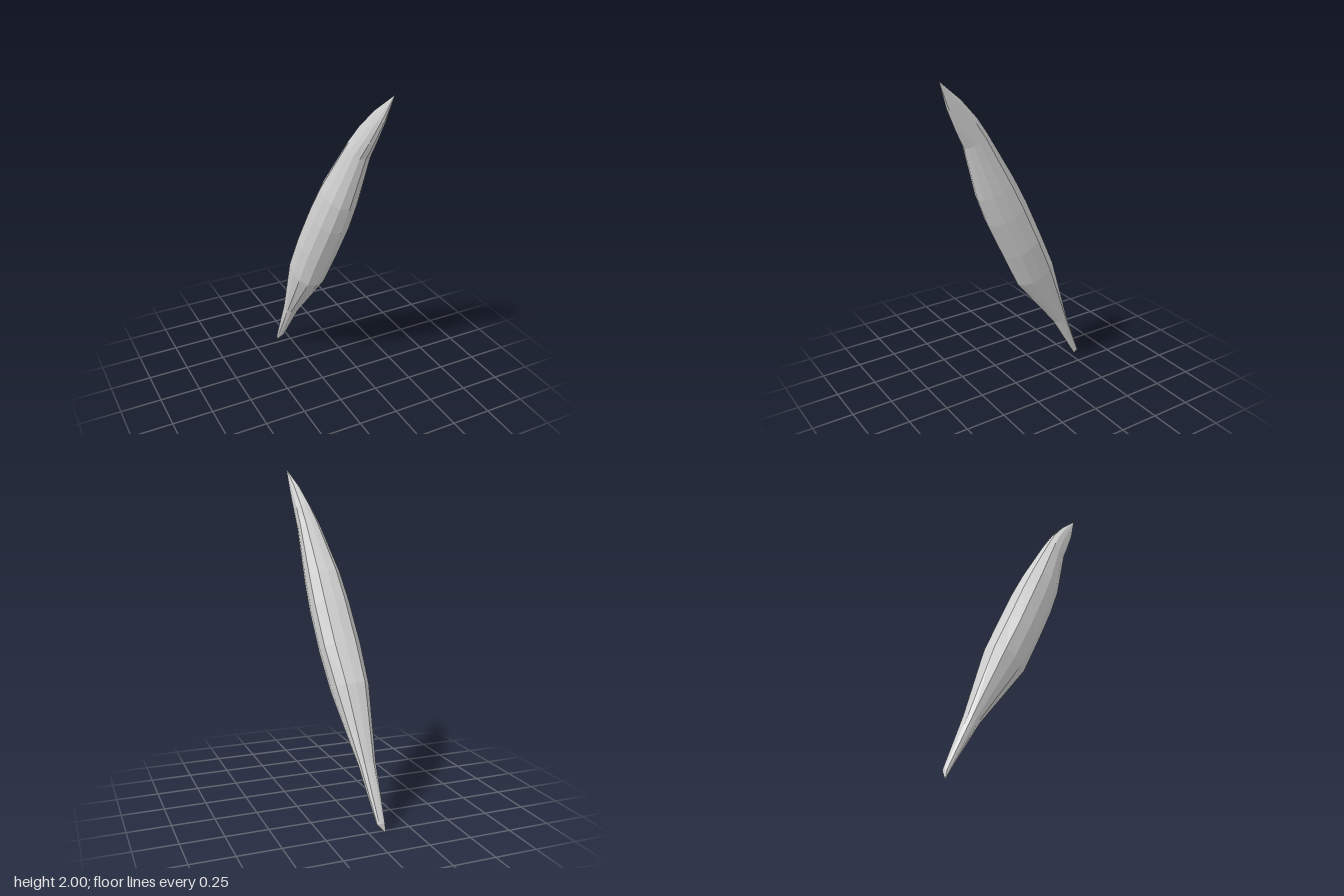
import * as THREE from 'three';

const SIDES = 12;

// Cross-sections from top tip to foot: centre x, y, z, half width, half depth
const RINGS = [
  [0.122, 2.0, 0.533, 0, 0],
  [0.097, 1.87, 0.443, 0.028, 0.045],
  [0.078, 1.75, 0.363, 0.048, 0.067],
  [0.063, 1.655, 0.305, 0.063, 0.074],
  [0.027, 1.355, 0.167, 0.101, 0.118],
  [0.013, 1.19, 0.087, 0.112, 0.128],
  [-0.007, 0.955, -0.031, 0.116, 0.127],
  [-0.026, 0.74, -0.14, 0.104, 0.125],
  [-0.046, 0.351, -0.36, 0.049, 0.045],
  [-0.066, 0.05, -0.515, 0.024, 0.016],
  [-0.09, 0.0, -0.533, 0, 0],
];

// Each ring lies square to the leaning axis; its upper back is broad and flattened
function ringPoint([x, y, z, halfWidth, halfDepth], i) {
  const a = (i / SIDES) * Math.PI * 2;
  const cos = Math.cos(a);
  const sin = Math.sin(a);
  const bulge = 1 + 0.25 * Math.abs(cos) * Math.max(0, sin);
  const w = cos * halfWidth * bulge;
  const d = sin * halfDepth * bulge;
  return [x + w, y + 0.47 * d, z - 0.88 * d];
}

function shardGeometry() {
  const positions = [];
  for (let r = 0; r < RINGS.length - 1; r++) {
    const upper = RINGS[r];
    const lower = RINGS[r + 1];
    for (let i = 0; i < SIDES; i++) {
      const a = ringPoint(upper, i);
      const b = ringPoint(lower, i);
      const c = ringPoint(lower, i + 1);
      const d = ringPoint(upper, i + 1);
      // The tips close to a point, so they need one triangle per side
      if (lower[3] > 0) positions.push(...a, ...b, ...c);
      if (upper[3] > 0) positions.push(...a, ...c, ...d);
    }
  }
  const geometry = new THREE.BufferGeometry();
  geometry.setAttribute('position', new THREE.Float32BufferAttribute(positions, 3));
  geometry.computeVertexNormals();
  return geometry;
}

export function createModel() {
  const group = new THREE.Group();
  group.name = 'leaningShard';

  const stone = new THREE.MeshStandardMaterial({ color: 0xd4d4d4, flatShading: true });
  stone.name = 'pale grey stone';

  const shard = new THREE.Mesh(shardGeometry(), stone);
  shard.name = 'shard';
  group.add(shard);
  return group;
}
